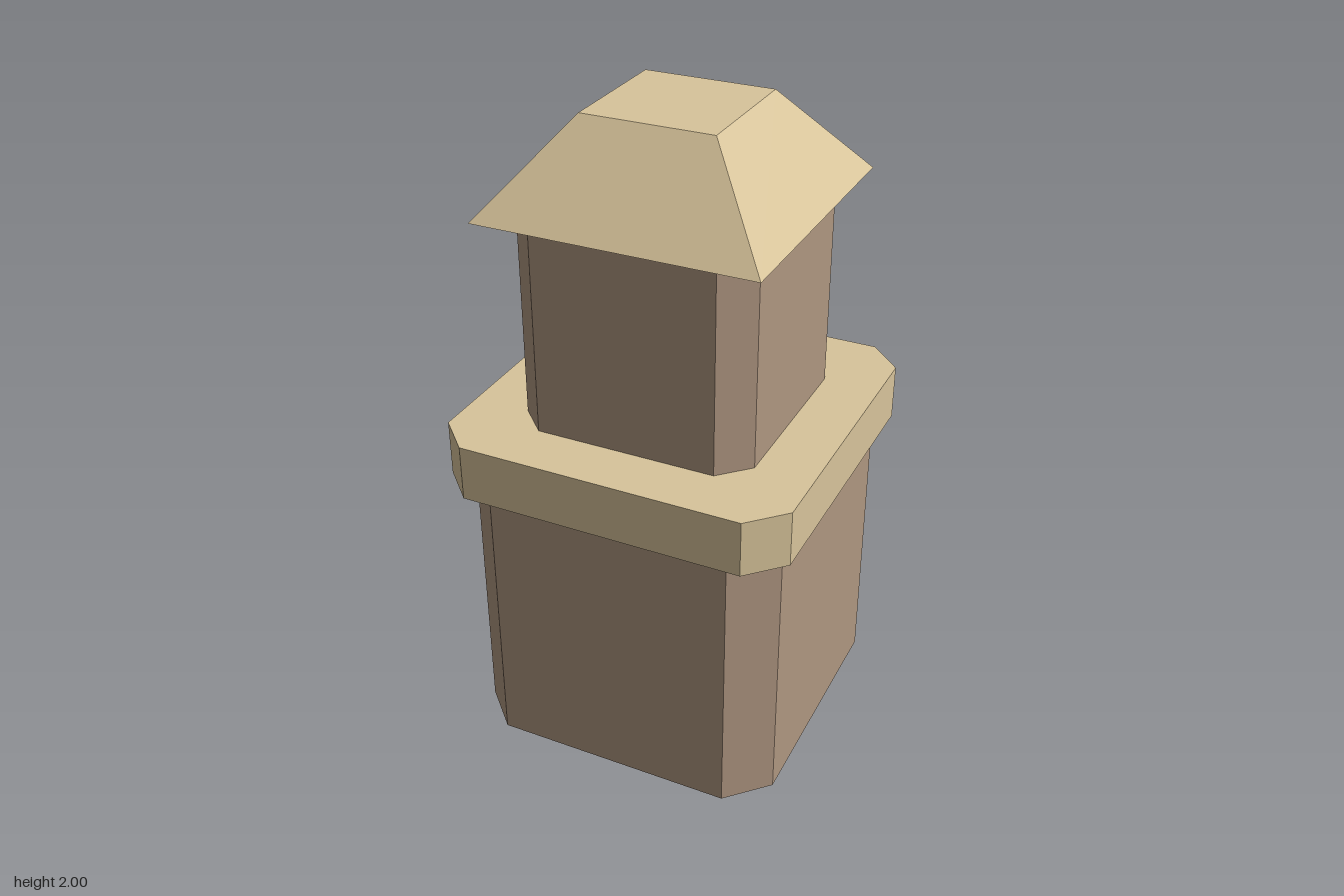
import * as THREE from 'three';

// Upright square prism with bevelled vertical corners.
function chamferedPrism(name, half, flat, y0, y1, material) {
  const outline = [
    [half, -flat], [half, flat], [flat, half], [-flat, half],
    [-half, flat], [-half, -flat], [-flat, -half], [flat, -half],
  ].map(([x, y]) => new THREE.Vector2(x, y));
  const geometry = new THREE.ExtrudeGeometry(new THREE.Shape(outline), {
    depth: y1 - y0, bevelEnabled: false,
  });
  geometry.rotateX(-Math.PI / 2).translate(0, y0, 0);
  const mesh = new THREE.Mesh(geometry, material);
  mesh.name = name;
  return mesh;
}

export function createModel() {
  const stone = new THREE.MeshStandardMaterial({ color: 0xae9680 });
  stone.name = 'brown stone';
  const trim = new THREE.MeshStandardMaterial({ color: 0xd8c49b });
  trim.name = 'pale sandstone';

  const model = new THREE.Group();
  model.name = 'tower';

  // Stacked walls with a projecting ledge between them
  model.add(
    chamferedPrism('lowerWalls', 0.5, 0.38, 0, 0.9, stone),
    chamferedPrism('ledge', 0.545, 0.44, 0.9, 1.075, trim),
    chamferedPrism('upperWalls', 0.367, 0.28, 1.075, 1.727, stone),
  );

  // Roof: a box tapered to a small flat top
  const roofGeometry = new THREE.BoxGeometry(0.856, 0.273, 0.856).translate(0, 1.8635, 0);
  const p = roofGeometry.attributes.position;
  const taper = 0.202 / 0.428;
  for (let i = 0; i < p.count; i++) {
    if (p.getY(i) > 1.9) {
      p.setX(i, p.getX(i) * taper);
      p.setZ(i, p.getZ(i) * taper);
    }
  }
  roofGeometry.computeVertexNormals();
  const roof = new THREE.Mesh(roofGeometry, trim);
  roof.name = 'roof';
  model.add(roof);

  return model;
}
